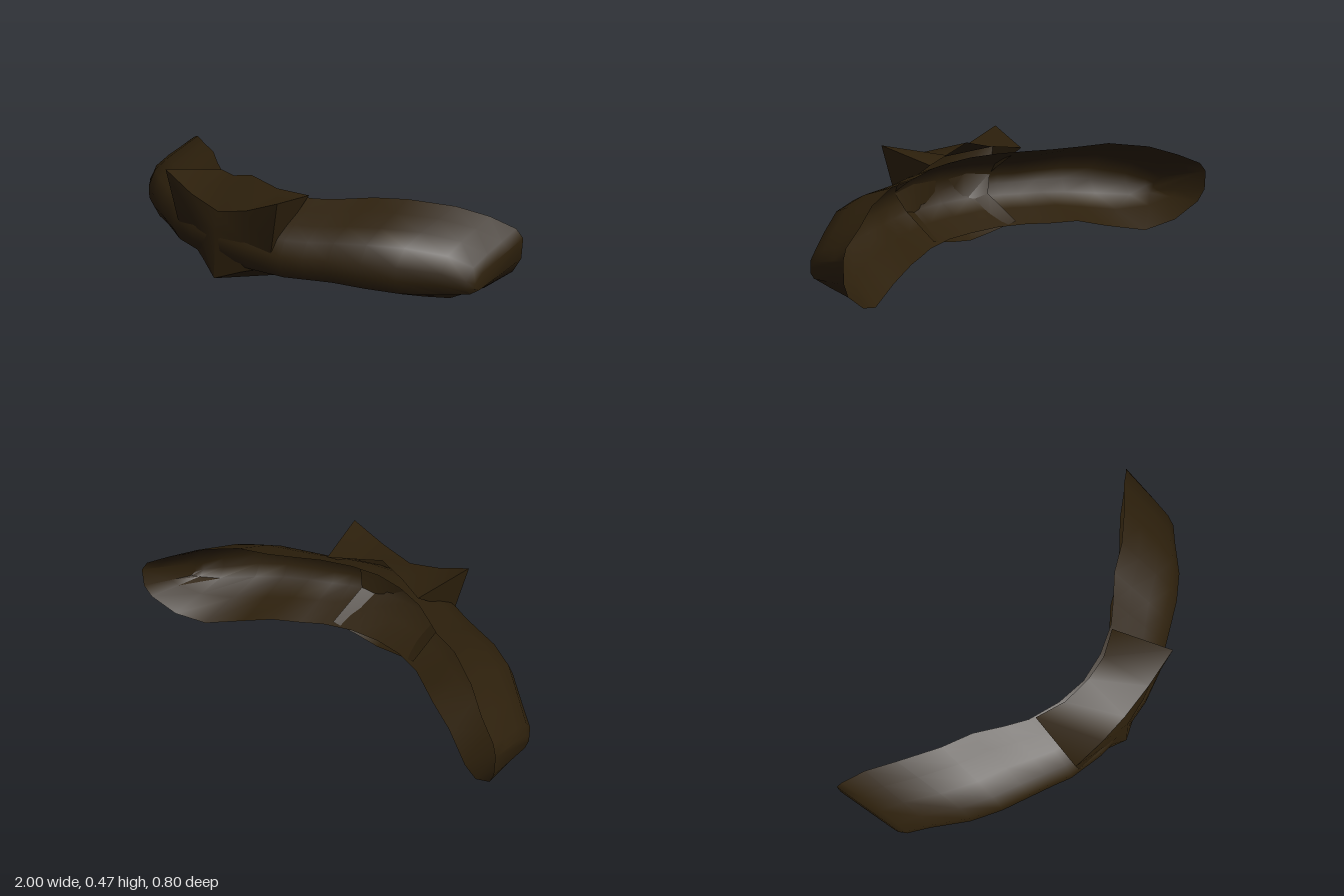
import * as THREE from 'three';
import { toCreasedNormals } from 'three/addons/utils/BufferGeometryUtils.js';

const lerp = THREE.MathUtils.lerp;

// Skins open sections running along x from -x to +x; both ends are closed
// by a fan over the first capCount points of the end sections
function loft(rings, capCount, crease) {
  const n = rings[0].length;
  const index = [];
  for (let i = 0; i < rings.length - 1; i++) {
    for (let j = 0; j < n - 1; j++) {
      const a = i * n + j, b = a + 1, c = b + n, d = a + n;
      index.push(a, b, c, a, c, d);
    }
  }
  const last = (rings.length - 1) * n;
  for (let j = 1; j < capCount - 1; j++) {
    index.push(0, j + 1, j, last, last + j, last + j + 1);
  }
  const geo = new THREE.BufferGeometry();
  geo.setAttribute('position', new THREE.Float32BufferAttribute(rings.flat(2), 3));
  geo.setIndex(index);
  return toCreasedNormals(geo, crease);
}

// Mirrors half stations (listed from the centre outwards) to the full width
function fullWidth(stations, ring) {
  return [
    ...stations.slice(1).reverse().map((st) => ring(-1, st)),
    ...stations.map((st) => ring(1, st)),
  ];
}

// Wing stations: rim x, z, top, bottom, then front x, z, top, bottom
const wingStations = [
  [0, 0.14, 0.41, 0.05, 0, 0.388, 0.31, 0.15],
  [0.14, 0.12, 0.41, 0.055, 0.16, 0.375, 0.305, 0.15],
  [0.28, 0.07, 0.41, 0.055, 0.32, 0.335, 0.295, 0.145],
  [0.37, 0.01, 0.415, 0.055, 0.40, 0.295, 0.295, 0.145],
  [0.48, -0.07, 0.427, 0.065, 0.50, 0.25, 0.305, 0.145],
  [0.61, -0.13, 0.435, 0.03, 0.62, 0.195, 0.315, 0.14],
  [0.77, -0.238, 0.415, 0.002, 0.74, 0.12, 0.315, 0.13],
  [0.88, -0.325, 0.375, 0.055, 0.87, 0.0, 0.28, 0.12],
  [0.975, -0.38, 0.33, 0.14, 0.95, -0.065, 0.23, 0.12],
  [1.0, -0.397, 0.29, 0.2, 0.97, -0.1, 0.2, 0.13],
];
// Domed section open at the back: [back to front, bottom to top]
const wingSection = [
  [0, 1], [0.3, 1], [0.6, 1], [0.87, 0.94], [1, 0.62],
  [1, 0.3], [0.9, 0.02], [0.5, 0], [0, 0],
];

function wingsGeometry() {
  const ring = (s, [bx, bz, bt, bb, fx, fz, ft, fb]) =>
    wingSection.map(([t, v]) => [
      s * lerp(bx, fx, t),
      lerp(lerp(bb, fb, t), lerp(bt, ft, t), v),
      lerp(bz, fz, t),
    ]);
  return loft(fullWidth(wingStations, ring), wingSection.length, 0.9);
}

// Middle band stations: back top, front top, front middle, front bottom, back bottom
const bandStations = [
  [[0, 0.475, 0.165], [0, 0.365, 0.37], [0, 0.29, 0.39], [0, 0.07, 0.4], [0, 0.015, 0.14]],
  [[0.13, 0.44, 0.145], [0.16, 0.405, 0.37], [0.14, 0.27, 0.37], [0.12, 0.12, 0.355], [0.12, 0.035, 0.13]],
  [[0.26, 0.425, 0.09], [0.33, 0.475, 0.362], [0.28, 0.25, 0.345], [0.24, 0.16, 0.31], [0.24, 0.07, 0.1]],
];

function bandGeometry() {
  const ring = (s, points) => points.map(([x, y, z]) => [s * x, y, z]);
  return loft(fullWidth(bandStations, ring), 3, 0.7);
}

export function createModel() {
  const group = new THREE.Group();
  const darkBrown = new THREE.MeshStandardMaterial({ color: 0x2d200c });
  darkBrown.name = 'darkBrown';
  darkBrown.side = THREE.DoubleSide;

  const add = (name, geo) => {
    const mesh = new THREE.Mesh(geo, darkBrown);
    mesh.name = name;
    group.add(mesh);
  };
  add('wings', wingsGeometry());
  add('middleBand', bandGeometry());
  return group;
}
